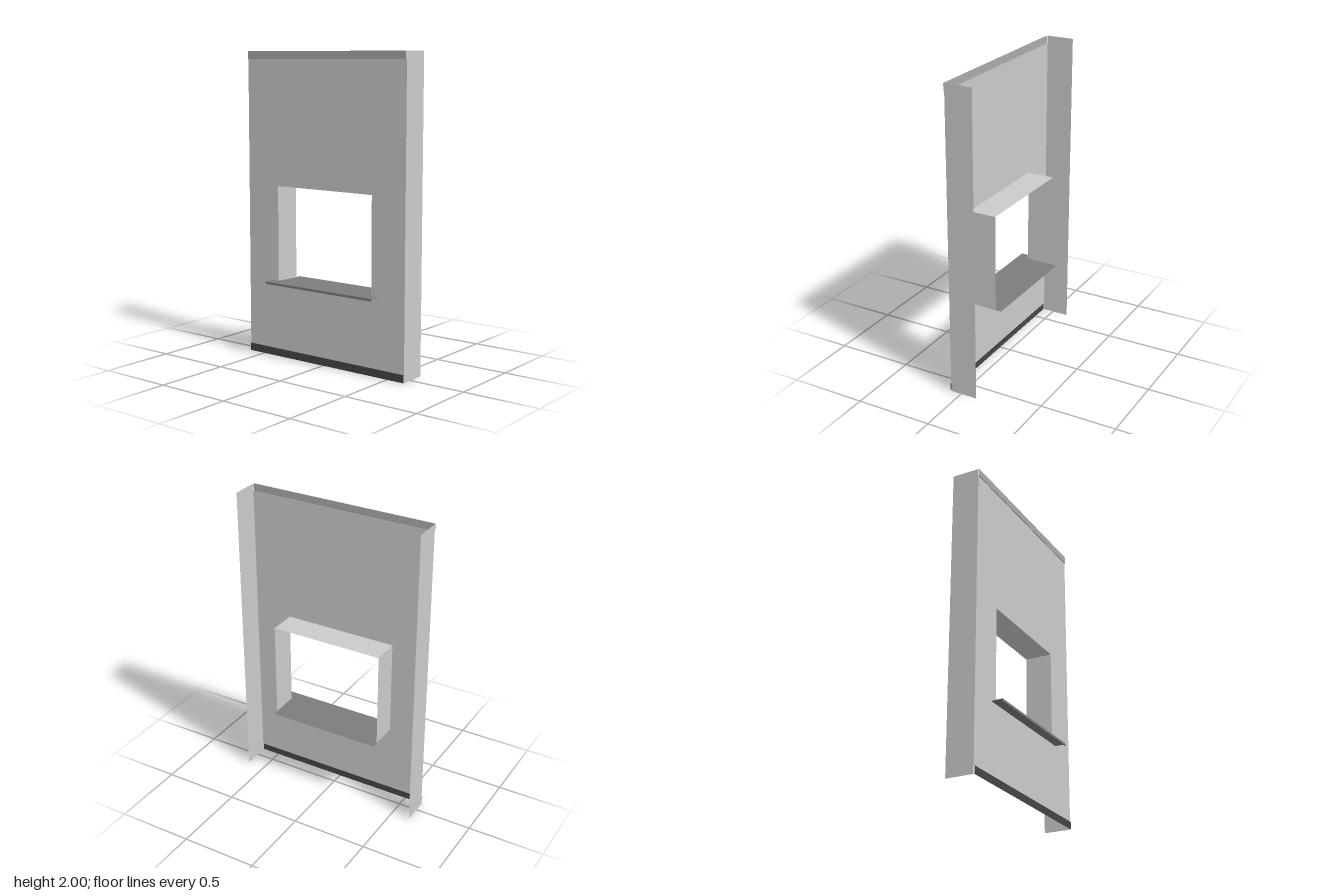
import * as THREE from 'three';

const HALF_W = 0.623, HEIGHT = 2, BAND = 0.05;
const FACE_Z = 0.071, BAND_Z = 0.076, BACK_Z = -0.11;
const OPEN_W = 0.375, OPEN_BOTTOM = 0.507, OPEN_TOP = 1.133;

const sheet = (color) => new THREE.MeshStandardMaterial({ color, side: THREE.DoubleSide });

export function createModel() {
  const model = new THREE.Group();
  const wall = sheet(0xcccccc);
  const topTrim = sheet(0xababab);
  const baseTrim = sheet(0x454545);
  const sillMat = sheet(0x7c7c7c);

  const add = (name, geometry, material, parent = model) => {
    const mesh = new THREE.Mesh(geometry, material);
    mesh.name = name;
    parent.add(mesh);
    return mesh;
  };

  // Sheet swept along x from a folded [z, y] profile
  const folded = (profile, halfWidth) => {
    const pos = [];
    for (let i = 0; i < profile.length - 1; i++) {
      const [z0, y0] = profile[i], [z1, y1] = profile[i + 1];
      pos.push(-halfWidth, y0, z0, halfWidth, y0, z0, halfWidth, y1, z1);
      pos.push(-halfWidth, y0, z0, halfWidth, y1, z1, -halfWidth, y1, z1);
    }
    const geometry = new THREE.BufferGeometry();
    geometry.setAttribute('position', new THREE.Float32BufferAttribute(pos, 3));
    geometry.computeVertexNormals();
    return geometry;
  };

  // Upright sheet facing sideways, running from the wall face to the back
  const sideSheet = (x, y0, y1) => new THREE.PlaneGeometry(FACE_Z - BACK_Z, y1 - y0)
    .rotateY(Math.sign(x) * Math.PI / 2)
    .translate(x, (y0 + y1) / 2, (FACE_Z + BACK_Z) / 2);

  // Wall face with the window opening
  const rect = (Type, x, y0, y1) => new Type([
    new THREE.Vector2(-x, y0), new THREE.Vector2(x, y0),
    new THREE.Vector2(x, y1), new THREE.Vector2(-x, y1),
  ]);
  const face = rect(THREE.Shape, HALF_W, BAND, HEIGHT - BAND);
  face.holes.push(rect(THREE.Path, OPEN_W, OPEN_BOTTOM, OPEN_TOP));
  add('wallFace', new THREE.ShapeGeometry(face).translate(0, 0, FACE_Z), wall);

  // Slightly raised bands along the top and bottom
  add('topBand', folded([[FACE_Z, HEIGHT - BAND], [BAND_Z, HEIGHT - BAND], [BAND_Z, HEIGHT]], HALF_W), topTrim);
  add('baseBand', folded([[BAND_Z, 0], [BAND_Z, BAND], [FACE_Z, BAND]], HALF_W), baseTrim);

  // Side returns and window jambs
  for (const [side, s] of [['left', 1], ['right', -1]]) {
    add(side + 'Return', sideSheet(s * HALF_W, 0, HEIGHT), wall);
    add(side + 'Jamb', sideSheet(s * OPEN_W, OPEN_BOTTOM, OPEN_TOP), wall);
  }
  add('windowHead', folded([[FACE_Z, OPEN_TOP], [BACK_Z, OPEN_TOP]], OPEN_W), wall);

  // Window sill: inner board, and a wider front ledge with a drip lip
  const sill = new THREE.Group();
  sill.name = 'windowSill';
  model.add(sill);
  add('sillBoard', folded([[FACE_Z, OPEN_BOTTOM], [-0.147, 0.503]], OPEN_W), sillMat, sill);
  const y = OPEN_BOTTOM;
  add('sillLedge', folded([
    [FACE_Z, y], [0.144, y], [0.144, y - 0.015], [0.138, y - 0.015], [0.138, y - 0.005], [FACE_Z, y - 0.005],
  ], 0.424), sillMat, sill);

  return model;
}
